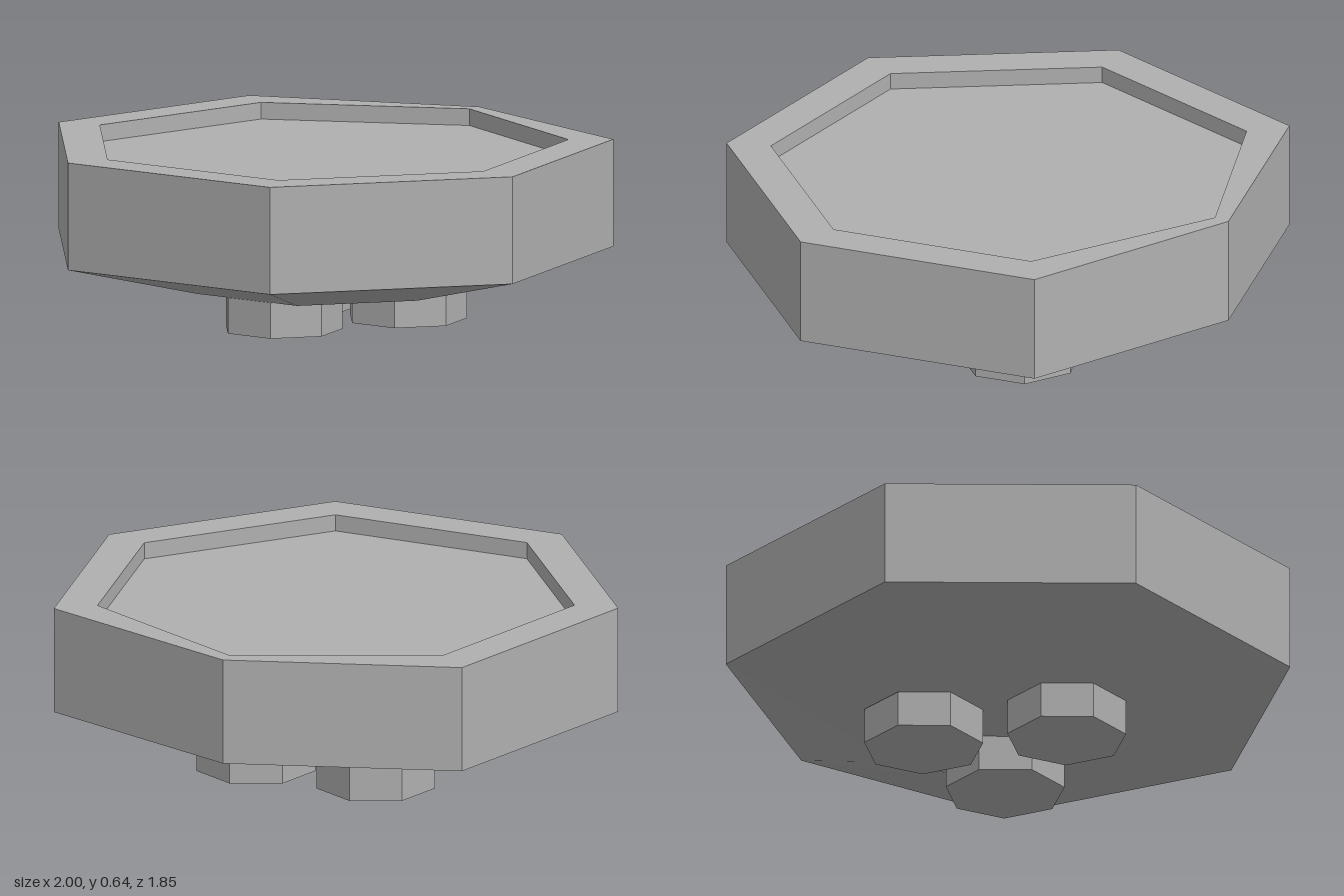
import * as THREE from 'three';

const SIDES = 7;
const CENTRE_Z = 0.05;

// One seven-sided ring with a corner at the back; backRadius moves that corner
function ring(radius, y, backRadius = radius) {
  const points = [];
  for (let k = 0; k < SIDES; k++) {
    const a = (k / SIDES) * Math.PI * 2;
    const r = k === 0 ? backRadius : radius;
    points.push([r * Math.sin(a), y, CENTRE_Z - r * Math.cos(a)]);
  }
  return points;
}

// Joins successive rings with flat quads; a ring of radius 0 closes an end
function loft(rings) {
  const positions = [];
  const same = (p, q) => p.every((v, i) => Math.abs(v - q[i]) < 1e-6);
  const tri = (a, b, c) => {
    if (!same(a, b) && !same(b, c) && !same(c, a)) positions.push(...a, ...b, ...c);
  };
  for (let i = 0; i < rings.length - 1; i++) {
    const lower = rings[i], upper = rings[i + 1];
    for (let k = 0; k < SIDES; k++) {
      const n = (k + 1) % SIDES;
      tri(lower[n], lower[k], upper[k]);
      tri(lower[n], upper[k], upper[n]);
    }
  }
  const geometry = new THREE.BufferGeometry();
  geometry.setAttribute('position', new THREE.Float32BufferAttribute(positions, 3));
  geometry.computeVertexNormals();
  return geometry;
}

export function createModel() {
  const group = new THREE.Group();
  group.name = 'footedTray';
  const grey = new THREE.MeshStandardMaterial({ color: 0xb0b0b0, flatShading: true });
  grey.name = 'grey';

  // Tray: tapered underside, upright wall, flat rim and shallow recess
  const tray = new THREE.Mesh(loft([
    ring(0, 0.13),
    ring(0.508, 0.13),
    ring(1.026, 0.255, 0.925),
    ring(1.026, 0.64, 0.925),
    ring(0.867, 0.64),
    ring(0.867, 0.58),
    ring(0, 0.58),
  ]), grey);
  tray.name = 'tray';
  group.add(tray);

  // Three seven-sided feet
  const footGeometry = new THREE.CylinderGeometry(0.216, 0.216, 0.13, SIDES, 1, false, Math.PI);
  const feet = { frontFoot: [0.007, 0.311], leftFoot: [0.225, -0.135], rightFoot: [-0.245, -0.135] };
  for (const [name, [x, z]] of Object.entries(feet)) {
    const foot = new THREE.Mesh(footGeometry, grey);
    foot.name = name;
    foot.position.set(x, 0.065, z);
    group.add(foot);
  }
  return group;
}
